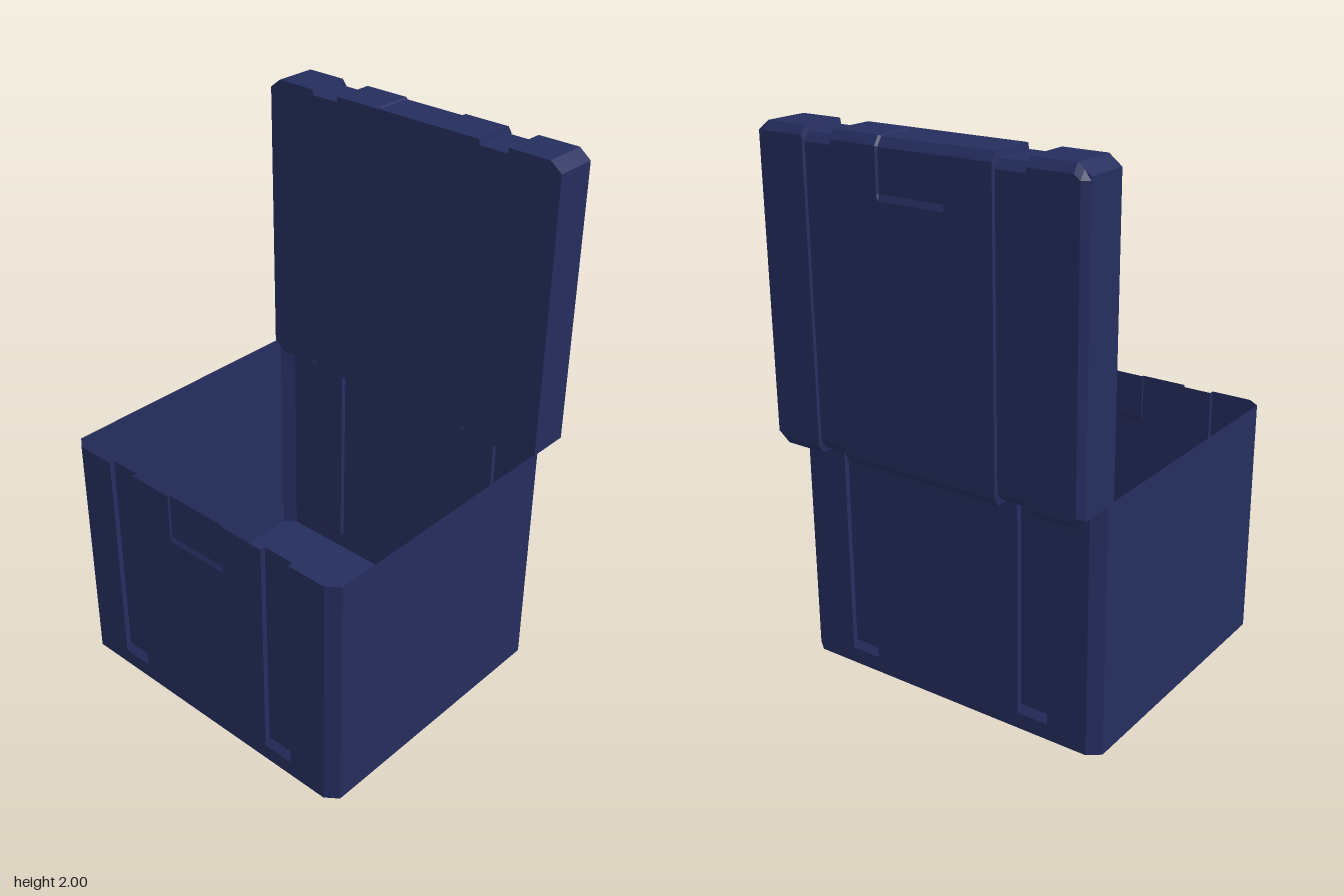
import * as THREE from 'three';

const GROOVE = [0.31, 0.43]; // x range of the vertical grooves
const LATCH = 0.13;          // half width of the finger recess

// Skin a list of closed rings, with optional fan caps
function loft(rings, capStart, capEnd) {
  const pos = [];
  const tri = (...p) => p.forEach((v) => pos.push(...v));
  const n = rings[0].length;
  for (let k = 0; k + 1 < rings.length; k++) {
    const a = rings[k], b = rings[k + 1];
    for (let i = 0; i < n; i++) {
      const j = (i + 1) % n;
      tri(a[i], a[j], b[j]);
      tri(a[i], b[j], b[i]);
    }
  }
  const cap = (ring, flip) => {
    const c = [0, 1, 2].map((d) => ring.reduce((s, p) => s + p[d], 0) / n);
    ring.forEach((p, i) => {
      const q = ring[(i + 1) % n];
      if (flip) tri(c, q, p); else tri(c, p, q);
    });
  };
  if (capStart) cap(rings[0], true);
  if (capEnd) cap(rings[rings.length - 1], false);
  const geo = new THREE.BufferGeometry();
  geo.setAttribute('position', new THREE.Float32BufferAttribute(pos, 3));
  geo.computeVertexNormals();
  return geo;
}

// Plan outline of the body at height y, with groove depth g and latch depth l
function bodyRing(y, g, l) {
  const W = 0.63, F = 0.612, B = -0.492, cx = 0.045, cz = 0.035;
  const [g0, g1] = GROOVE;
  const wall = (z, s, latch) => [
    [-W + cx, 0], [-g1, 0], [-g1, g], [-g0, g], [-g0, 0],
    [-LATCH, 0], [-LATCH, latch], [LATCH, latch], [LATCH, 0],
    [g0, 0], [g0, g], [g1, g], [g1, 0], [W - cx, 0],
  ].map(([x, d]) => [s * x, y, z - s * d]);
  return [
    ...wall(F, 1, l), [W, y, F - cz], [W, y, B + cz],
    ...wall(B, -1, 0), [-W, y, B + cz], [-W, y, F - cz],
  ];
}

// Side profile of the lid at x: half height h, back plane zb, latch depth l
function lidRing(x, h, zb, l = 0, zc = zb + 0.02, bevel = 0.03) {
  const Y = 1.44, zf = -0.432;
  return [
    [-h, zf], [-h, zc], [-h + bevel, zb],
    [0.36, zb], [0.38, zb + l], [h - bevel - l / 2, zb + l],
    [h - l / 2, zc + l], [h - l / 2, -0.455], [h, -0.445], [h, zf],
  ].map(([y, z]) => [x, Y + y, z]);
}

export function createModel() {
  const group = new THREE.Group();
  const navy = new THREE.MeshStandardMaterial({
    color: 0x252d5e, flatShading: true, side: THREE.DoubleSide,
  });

  // Open thin-walled body with grooves front and back, closed floor
  const body = new THREE.Mesh(loft([
    bodyRing(0, 0, 0), bodyRing(0.06, 0, 0), bodyRing(0.085, 0.02, 0),
    bodyRing(0.727, 0.02, 0), bodyRing(0.743, 0.02, 0.008), bodyRing(0.915, 0.02, 0.008),
  ], true, false), navy);
  body.name = 'boxBody';
  group.add(body);

  // Raised lid: bevelled corners, wrapping grooves, finger recess in the middle
  const [g0, g1] = GROOVE;
  const full = [0.56, -0.615], cut = [0.54, -0.605];
  const half = [
    [LATCH - 0.006, ...full, 0.008], [LATCH, ...full],
    [g0, ...full], [g0 + 0.004, ...cut], [g1 - 0.004, ...cut], [g1, ...full],
    [0.59, ...full], [0.612, 0.543, -0.615], [0.635, 0.525, -0.595, 0, -0.595, 0.012],
  ];
  const stations = [...half.map(([x, ...r]) => [-x, ...r]).reverse(), ...half];
  const lid = new THREE.Mesh(loft(stations.map((s) => lidRing(...s)), true, true), navy);
  lid.name = 'lid';
  group.add(lid);

  return group;
}
